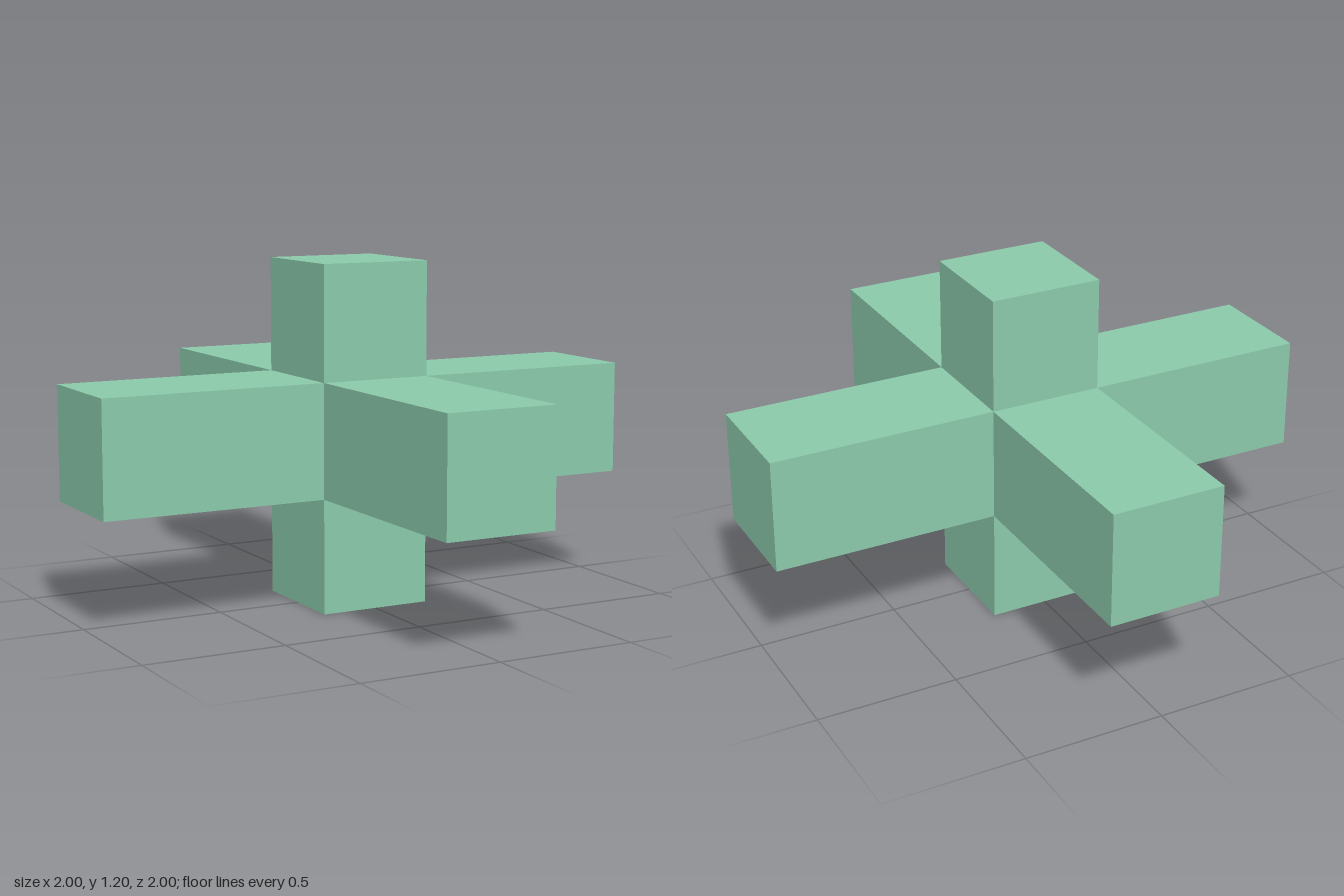
import * as THREE from 'three';

const WIDTH = 0.4;      // square section of every arm
const CENTER_Y = 0.6;   // height of the crossing point

// Square arm growing along +y from the hub face, left open where it meets the hub
function armGeometry(length) {
  const geometry = new THREE.BoxGeometry(WIDTH, length, WIDTH);
  geometry.translate(0, WIDTH / 2 + length / 2, 0);
  const index = Array.from(geometry.index.array);
  index.splice(18, 6); // bottom face
  geometry.setIndex(index);
  geometry.clearGroups();
  return geometry;
}

export function createModel() {
  const model = new THREE.Group();
  model.name = 'sixArmedCross';

  const green = new THREE.MeshStandardMaterial({ color: 0x8bcaab });
  green.name = 'softGreen';

  const longArm = armGeometry(0.8);
  const shortArm = armGeometry(0.4);

  // Long arms lie flat, short arms stand up and down
  const arms = [
    ['leftArm', longArm, 1, 0, 0],
    ['rightArm', longArm, -1, 0, 0],
    ['frontArm', longArm, 0, 0, 1],
    ['backArm', longArm, 0, 0, -1],
    ['topArm', shortArm, 0, 1, 0],
    ['bottomArm', shortArm, 0, -1, 0],
  ];

  const up = new THREE.Vector3(0, 1, 0);
  for (const [name, geometry, x, y, z] of arms) {
    const arm = new THREE.Mesh(geometry, green);
    arm.name = name;
    arm.quaternion.setFromUnitVectors(up, new THREE.Vector3(x, y, z));
    arm.position.y = CENTER_Y;
    model.add(arm);
  }
  return model;
}
